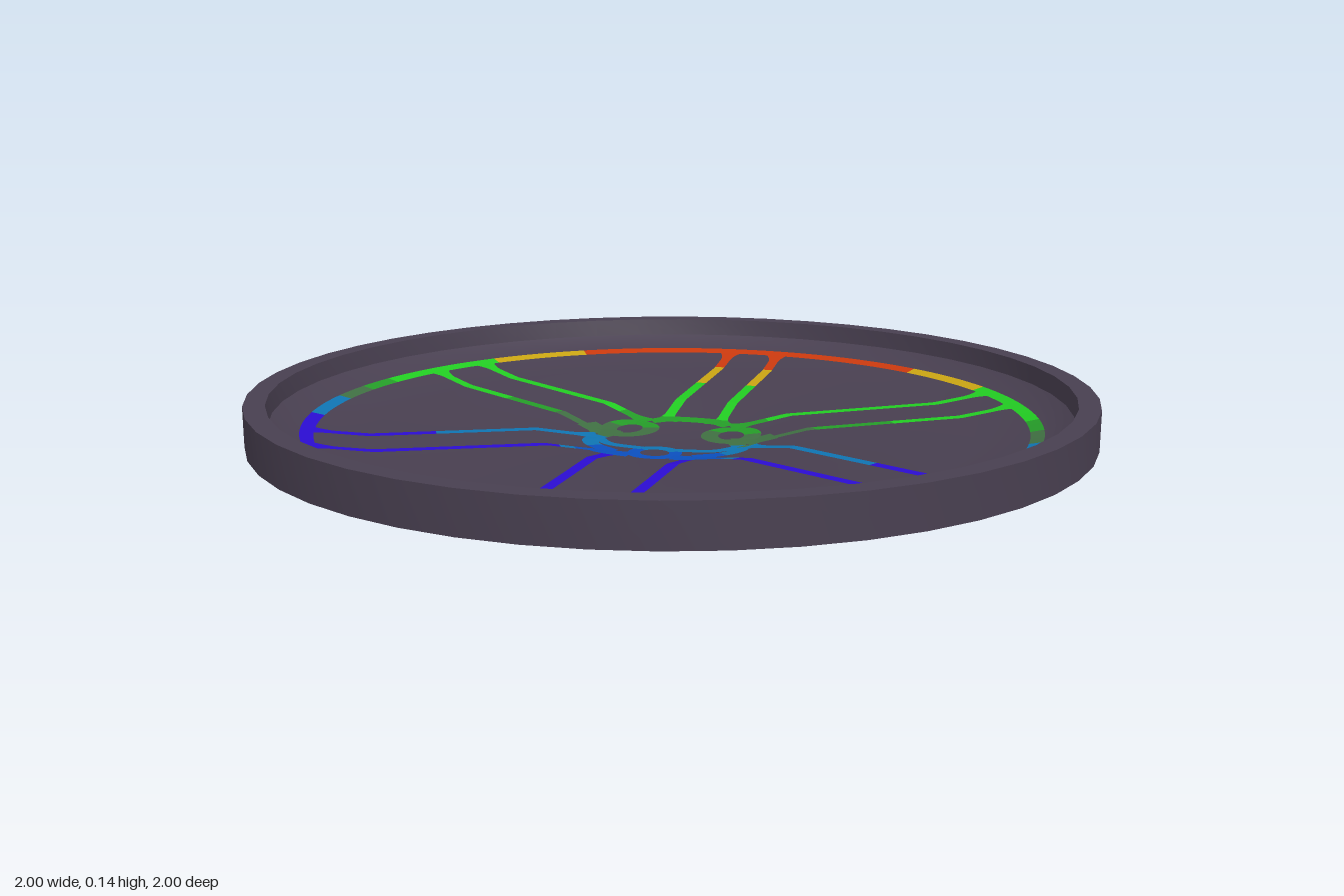
import * as THREE from 'three';
import { toCreasedNormals } from 'three/addons/utils/BufferGeometryUtils.js';

const V = (x, z) => new THREE.Vector3(x, 0, z);

// Dish floor profile, from rim to centre: [radius, height]
const floor = [[0.945, 0.095], [0.9, 0.068], [0.86, 0.058], [0.8, 0.047], [0.72, 0.036],
  [0.33, 0.028], [0.2, 0.004], [0, 0.004]];

function floorY(r) {
  for (let i = 1; i < floor.length; i++) {
    const [r0, y0] = floor[i - 1], [r1, y1] = floor[i];
    if (r >= r1) return y1 + (y0 - y1) * (r - r1) / (r0 - r1);
  }
  return 0.004;
}

// Paint colours run in bands from back to front: [name, colour, front limit in z]
const bands = [
  ['orange', 0xc9390e, -0.72], ['gold', 0xc9a413, -0.53], ['brightGreen', 0x22cc22, -0.2],
  ['midGreen', 0x259c28, -0.1], ['mutedGreen', 0x3f6f42, 0.02], ['skyBlue', 0x0f74b2, 0.21],
  ['violet', 0x2b0cd2, 0.61], ['magenta', 0xd40c78, 0.81], ['orange', 0xc9390e, 9],
  ['deepBlue', 0x0b4fbe, 9],
];

function bandAt(x, z) {
  if (z > 0.12 && z < 0.21 && Math.hypot(x, z) < 0.27) return 'deepBlue';
  return bands.find(b => z < b[2])[0];
}

export function createModel() {
  const group = new THREE.Group();

  // Dish: outer wall, rim top, inner wall and sunken floor
  const dark = new THREE.MeshStandardMaterial({ color: 0x483f50, side: THREE.DoubleSide });
  dark.name = 'darkGrey';
  const profile = [[1, 0.045], [1, 0.14], [0.95, 0.14], ...floor];
  const dish = new THREE.Mesh(toCreasedNormals(new THREE.LatheGeometry(
    profile.map(p => new THREE.Vector2(...p)), 48), 0.4), dark);
  dish.name = 'dish';
  group.add(dish);

  // Painted ribbons laid on both faces of the floor, sorted by colour
  const paint = {};
  for (const [name] of bands) paint[name] = [];

  function ribbon(points, width, closed = false, flare = 0) {
    const curve = new THREE.CatmullRomCurve3(points, closed);
    const n = Math.ceil(curve.getLength() / 0.012);
    const rows = [];
    for (let i = 0; i <= n; i++) {
      const t = i / n, p = curve.getPointAt(t), d = curve.getTangentAt(t);
      const end = Math.max(0, 1 - Math.min(t, 1 - t) / 0.09);
      const w = width / 2 + flare * end * end;
      rows.push([V(p.x + d.z * w, p.z - d.x * w), V(p.x - d.z * w, p.z + d.x * w)]);
    }
    for (let i = 0; i < n; i++) {
      const [a, b] = rows[i], [d, c] = rows[i + 1];
      const out = paint[bandAt((a.x + c.x) / 2, (a.z + c.z) / 2)];
      const put = (q, lift) => out.push(q.x, floorY(Math.hypot(q.x, q.z)) + lift, q.z);
      [a, b, c, a, c, d].forEach(q => put(q, 0.0035));
      [a, c, b, a, d, c].forEach(q => put(q, -0.0035));
    }
  }

  const oval = (x, z, rx, rz, n = 12) => Array.from({ length: n }, (_, i) => {
    const a = i / n * Math.PI * 2;
    return V(x + Math.cos(a) * rx, z + Math.sin(a) * rz);
  });

  // Outer ring
  ribbon(oval(0, 0, 0.862, 0.862, 48), 0.032, true);

  // Six pairs of parallel spokes
  for (let k = 0; k < 6; k++) {
    const a = Math.PI / 2 + k * Math.PI / 3, c = Math.cos(a), s = Math.sin(a);
    const gap = k === 0 ? 0.095 : k === 3 ? 0.07 : 0.078;
    for (const side of [-gap, gap]) {
      const at = r => V(c * r - s * side, s * r + c * side);
      ribbon([at(0.17), at(0.855)], 0.027, false, 0.022);
    }
  }

  // Hub: back bridge, eyelets, side arms and front bridge
  ribbon([V(-0.1, -0.16), V(-0.06, -0.19), V(0.06, -0.19), V(0.1, -0.16)], 0.04);
  ribbon(oval(0, 0.145, 0.05, 0.045), 0.03, true);
  for (const m of [-1, 1]) {
    ribbon(oval(m * 0.13, -0.07, 0.052, 0.065), 0.042, true);
    ribbon([V(m * 0.15, -0.01), V(m * 0.19, -0.03), V(m * 0.24, -0.06)], 0.06);
    ribbon([V(m * 0.16, 0), V(m * 0.185, 0.06), V(m * 0.165, 0.11), V(m * 0.1, 0.16)], 0.04);
    ribbon([V(m * 0.05, 0.18), V(m * 0.14, 0.175)], 0.05);
    ribbon([V(m * 0.18, 0.03), V(m * 0.13, 0.09), V(m * 0.04, 0.11)], 0.025);
  }

  // One mesh for each paint colour
  for (const [name, color] of bands) {
    if (!paint[name].length) continue;
    const geo = new THREE.BufferGeometry();
    geo.setAttribute('position', new THREE.Float32BufferAttribute(paint[name], 3));
    geo.computeVertexNormals();
    const mat = new THREE.MeshStandardMaterial({ color });
    mat.name = name;
    const mesh = new THREE.Mesh(geo, mat);
    mesh.name = name + 'Tracery';
    group.add(mesh);
    paint[name] = [];
  }
  return group;
}
